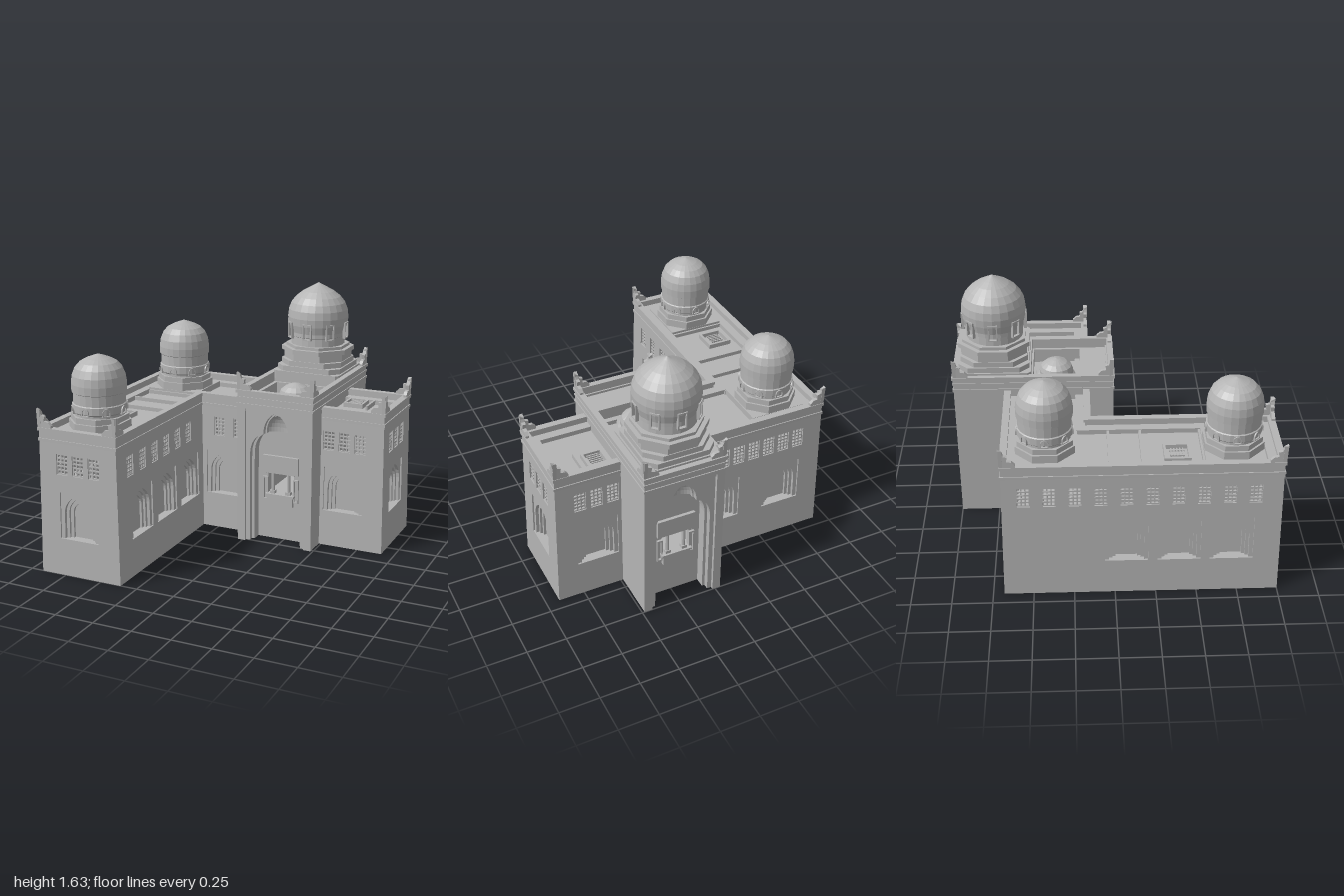
import * as THREE from 'three';
import { mergeGeometries } from 'three/addons/utils/BufferGeometryUtils.js';

const stone = new THREE.MeshStandardMaterial({ color: 0xb4b4b4, side: THREE.DoubleSide, flatShading: true });
stone.name = 'grey stone';

const V = (x, y) => new THREE.Vector2(x, y);
const rect = (x0, x1, y0, y1) => [V(x0, y0), V(x1, y0), V(x1, y1), V(x0, y1)];

function mesh(name, geo, parent) {
  const m = new THREE.Mesh(geo, stone);
  m.name = name;
  parent.add(m);
  return m;
}
function merged(name, geos, parent) {
  return mesh(name, mergeGeometries(geos.map(g => (g.index ? g.toNonIndexed() : g))), parent);
}
function box(x0, x1, y0, y1, z0, z1) {
  return new THREE.BoxGeometry(x1 - x0, y1 - y0, z1 - z0)
    .translate((x0 + x1) / 2, (y0 + y1) / 2, (z0 + z1) / 2);
}
// upright plate with holes, spanning z0..z1
function plate(outline, holes, z0, z1) {
  const s = new THREE.Shape(outline);
  s.holes = holes.map(h => new THREE.Path(h));
  return new THREE.ExtrudeGeometry(s, { depth: z1 - z0, bevelEnabled: false }).translate(0, 0, z0);
}
// horizontal plate; outlines are given as (x, -z)
const slab = (outline, holes, y0, y1) => plate(outline, holes, y0, y1).rotateX(-Math.PI / 2);

// slightly pointed arch opening
function arch(cx, r, y0, top) {
  const pts = [V(cx - r, y0), V(cx + r, y0)], spring = top - r * 1.15;
  for (let i = 0; i <= 12; i++) {
    const a = Math.PI * i / 12;
    pts.push(V(cx + r * Math.cos(a), spring + r * 1.05 * Math.sin(a) + r * 0.1 * Math.sin(a) ** 6));
  }
  return pts;
}

// wall with stepped blind arches and lattice windows, leaning out towards its base
const H = 0.86;
function wall(name, face, at, from, to, arches, lattices, parent) {
  const L = to - from, mid = (from + to) / 2;
  const sign = face === 'front' || face === 'west' ? 1 : -1;
  const us = arches.map(c => sign * (c - mid)), ls = lattices.map(c => sign * (c - mid));
  const holes = [...us.map(u => rect(u - 0.13, u + 0.13, 0.24, 0.54)),
    ...ls.map(u => rect(u - 0.038, u + 0.038, 0.65, 0.78))];
  const parts = [plate(rect(-L / 2, L / 2, 0, H), holes, -0.03, 0)];
  for (const u of us) {
    const frame = rect(u - 0.135, u + 0.135, 0.235, 0.545);
    parts.push(plate(frame, [arch(u, 0.105, 0.24, 0.525)], -0.03, -0.01));
    parts.push(plate(frame, [arch(u, 0.085, 0.24, 0.505)], -0.045, -0.03));
    parts.push(plate(frame, [arch(u, 0.065, 0.24, 0.475)], -0.06, -0.045));
    parts.push(box(u - 0.135, u + 0.135, 0.235, 0.545, -0.07, -0.06));
  }
  for (const u of ls) {
    for (let i = 0; i < 4; i++) {
      const x = u - 0.036 + i * 0.024;
      parts.push(box(x - 0.004, x + 0.004, 0.65, 0.78, -0.022, -0.01));
    }
    for (let i = 0; i < 6; i++) {
      const y = 0.653 + i * 0.0248;
      parts.push(box(u - 0.038, u + 0.038, y - 0.004, y + 0.004, -0.02, -0.008));
    }
  }
  const m = merged(name, parts, parent), p = m.geometry.attributes.position;
  for (let i = 0; i < p.count; i++) {
    const out = 0.012 * (1 - p.getY(i) / H);
    p.setXYZ(i, p.getX(i) * (1 + 2 * out / L), p.getY(i), p.getZ(i) + out);
  }
  m.geometry.computeVertexNormals();
  const side = face === 'east' || face === 'west';
  m.position.set(side ? at : mid, 0, side ? mid : at);
  m.rotation.y = { front: 0, east: Math.PI / 2, back: Math.PI, west: -Math.PI / 2 }[face];
}

// outline of the L-shaped wings, inset by d
const wings = d => [V(-0.905 + d, 0.67 - d), V(-0.905 + d, -0.99 + d), V(-0.372 - d, -0.99 + d),
  V(-0.372 - d, 0.14 + d), V(0.905 - d, 0.14 + d), V(0.905 - d, 0.67 - d)];

// curled corner ornament, two leaves meeting at the corner
function ornament(x, y, z, sx, sz, parent) {
  const s = [V(0, 0), V(-0.005, 0.115), V(0.02, 0.1), V(0.028, 0.075), V(0.05, 0.07), V(0.046, 0.04),
    V(0.075, 0.035), V(0.095, 0.015), V(0.095, 0)];
  const g = merged('cornerOrnament', [plate(s, [], 0, 0.022), plate(s, [], -0.022, 0).rotateY(-Math.PI / 2)], parent);
  g.position.set(x, y, z);
  g.scale.set(sx, 1, sz);
}

function dome(name, profile, sides, x, z, parent) {
  const d = mesh(name, new THREE.LatheGeometry(profile.map(p => V(p[0], p[1])), sides), parent);
  d.position.set(x, 0, z);
}
// window frames standing around a drum
function drumWindows(x, z, r, w, y0, y1, count, arched, parent) {
  for (let i = 0; i < count; i++) {
    const hole = arched ? arch(0, w / 2 - 0.006, y0 + 0.005, y1 - 0.006) : rect(-w / 2 + 0.008, w / 2 - 0.008, y0 + 0.008, y1 - 0.008);
    const f = mesh('drumWindow', plate(arched ? arch(0, w / 2, y0, y1) : rect(-w / 2, w / 2, y0, y1), [hole], r - 0.02, r), parent);
    f.position.set(x, 0, z);
    f.rotation.y = i * 2 * Math.PI / count;
  }
}
const octagon = (h, c) => [V(-h + c, -h), V(h - c, -h), V(h, -h + c), V(h, h - c), V(h - c, h), V(-h + c, h), V(-h, h - c), V(-h, -h + c)];

function skylight(x, z, w, parent) {
  const h = w / 2, parts = [slab(rect(x - h, x + h, -z - h, -z + h), [rect(x - h + 0.015, x + h - 0.015, -z - h + 0.015, -z + h - 0.015)], 0.86, 0.89)];
  for (let i = -2; i <= 2; i++) {
    parts.push(box(x - 0.04, x + 0.04, 0.875, 0.885, z + i * 0.018 - 0.004, z + i * 0.018 + 0.004));
    if (i % 2) parts.push(box(x + i * 0.025 - 0.004, x + i * 0.025 + 0.004, 0.87, 0.88, z - 0.045, z + 0.045));
  }
  merged('skylight', parts, parent);
}

// half of the three-lobed portal opening, from the floor to the tip
function lobes(k, tip) {
  const c = new THREE.CurvePath();
  const p = (x, y) => V(x * k, y);
  c.add(new THREE.LineCurve(p(-0.18, 0), p(-0.18, 0.6)));
  c.add(new THREE.QuadraticBezierCurve(p(-0.18, 0.6), p(-0.175, 0.72), p(-0.085, 0.745)));
  c.add(new THREE.QuadraticBezierCurve(p(-0.085, 0.745), p(-0.09, 0.84), p(0, tip)));
  const half = c.getPoints(8);
  return [...half, ...half.slice(0, -1).reverse().map(q => V(-q.x, q.y))];
}
function portal(parent, rot) {
  const g = new THREE.Group();
  g.name = 'portal';
  g.position.set(0.225, 0, -0.49);
  g.rotation.y = rot;
  parent.add(g);
  const around = (w, opening, top) => [V(-w, 0), ...opening, V(w, 0), V(w, top), V(-w, top)];
  const door = [V(-0.208, 0), V(-0.208, 0.91), V(0.208, 0.91), V(0.208, 0)];
  merged('portalFrame', [plate(around(0.26, door, 0.98), [], 0.47, 0.51),
    plate(around(0.255, lobes(1, 0.9), 0.96), [], 0.455, 0.49),
    plate(around(0.255, lobes(0.9, 0.88), 0.96), [], 0.39, 0.455)], g);
  mesh('nicheWall', plate(rect(-0.255, 0.255, 0, 0.96), [rect(-0.09, 0.09, 0.3, 0.46)], 0.37, 0.39), g);
  // fluted half dome in the niche head
  const hood = mesh('nicheHood', new THREE.SphereGeometry(0.085, 12, 6, 0, Math.PI, 0, Math.PI / 2), g);
  hood.scale.set(1, 1.4, -0.6);
  hood.position.set(0, 0.75, 0.455);
  // balcony window
  const parts = [plate(rect(-0.125, 0.125, 0.46, 0.58), [arch(0, 0.1, 0.468, 0.57)], 0.39, 0.41),
    plate(arch(0, 0.085, 0.47, 0.555), [arch(0, 0.07, 0.476, 0.542)], 0.39, 0.4),
    box(-0.09, 0.09, 0.24, 0.31, 0.37, 0.42), box(-0.1, 0.1, 0.305, 0.32, 0.36, 0.425)];
  for (const s of [-1, 1]) {
    parts.push(plate(rect(s * 0.107 - 0.018, s * 0.107 + 0.018, 0.27, 0.43), [rect(s * 0.107 - 0.01, s * 0.107 + 0.01, 0.28, 0.42)], 0.39, 0.405));
    parts.push(new THREE.CylinderGeometry(0.011, 0.013, 0.14, 8).translate(s * 0.055, 0.39, 0.395));
    parts.push(box(s * 0.055 - 0.017, s * 0.055 + 0.017, 0.32, 0.34, 0.38, 0.412));
  }
  merged('balconyWindow', parts, g);
}

export function createModel() {
  const model = new THREE.Group();
  model.name = 'domedBuilding';

  // wing walls
  const run = (a, b, n) => Array.from({ length: n }, (_, i) => a + (b - a) * i / (n - 1));
  wall('wingFrontWall', 'front', 0.99, -0.905, -0.372, [-0.64], run(-0.75, -0.53, 3), model);
  wall('wingEastWall', 'east', -0.372, -0.14, 0.99, [0.7, 0.385, 0.07], run(0.83, 0.07, 6), model);
  wall('wingWestWall', 'west', -0.905, -0.67, 0.99, [0.7, 0.385, 0.07], run(0.83, -0.54, 10), model);
  wall('innerFrontWall', 'front', -0.14, -0.372, -0.03, [-0.2], [-0.24, -0.1], model);
  wall('eastFrontWall', 'front', -0.14, 0.48, 0.905, [0.645], run(0.54, 0.75, 3), model);
  wall('eastEndWall', 'east', 0.905, -0.67, -0.14, [-0.4], run(-0.51, -0.29, 3), model);
  wall('longBackWall', 'back', -0.67, -0.905, -0.03, [-0.2, -0.63], run(-0.74, -0.11, 7), model);
  wall('eastBackWall', 'back', -0.67, 0.48, 0.905, [0.645], run(0.54, 0.75, 3), model);

  // floor, roof and parapet of the wings
  mesh('floor', slab(wings(0.02), [], 0.18, 0.2), model);
  mesh('roof', slab(wings(0.02), [], 0.835, 0.86), model);
  merged('parapet', [[0, 0.085, 0.85, 0.89], [-0.006, 0.03, 0.85, 0.868], [0, 0.028, 0.868, 0.92], [-0.008, 0.036, 0.915, 0.935]]
    .map(([a, b, y0, y1]) => slab(wings(a), [wings(b)], y0, y1)), model);
  merged('roofBeams', [-0.225, -0.03, 0.165, 0.53].map(z => box(-0.825, -0.45, 0.86, 0.885, z - 0.008, z + 0.008)), model);
  mesh('roofDivider', box(0.68, 0.695, 0.86, 0.89, -0.64, -0.43), model);
  skylight(-0.7, 0.375, 0.16, model);
  skylight(0.585, -0.52, 0.135, model);
  for (const [x, z, sx, sz] of [[-0.91, 0.995, 1, -1], [-0.367, 0.995, -1, -1], [-0.91, -0.675, 1, 1], [0.91, -0.675, -1, 1], [0.91, -0.135, -1, -1]])
    ornament(x, 0.935, z, sx, sz, model);

  // wing domes on octagonal bases
  for (const z of [-0.41, 0.715]) {
    merged('domeBase', [box(-0.825, -0.455, 0.86, 0.9, z - 0.18, z + 0.18),
      slab(octagon(0.178, 0.104), [], 0.9, 0.95).translate(-0.64, 0, z),
      slab(octagon(0.166, 0.097), [], 0.95, 0.985).translate(-0.64, 0, z)], model);
    dome('wingDome', [[0.157, 0.985], [0.157, 1.0], [0.168, 1.01], [0.168, 1.055], [0.161, 1.06], [0.161, 1.125], [0.169, 1.13],
      [0.17, 1.18], [0.163, 1.23], [0.145, 1.275], [0.115, 1.308], [0.075, 1.33], [0.03, 1.347], [0, 1.357]], 24, -0.64, z, model);
    drumWindows(-0.64, z, 0.174, 0.05, 1.0, 1.052, 8, true, model);
  }

  // gate tower
  portal(model, 0);
  portal(model, Math.PI);
  merged('gateSides', [-0.035, 0.455].map(x => box(x, x + 0.03, 0, 0.98, -1, 0.02)), model);
  mesh('gateFloor', box(-0.03, 0.48, 0.18, 0.2, -0.86, -0.12), model);
  const gate = d => rect(-0.035 + d, 0.485 - d, -0.02 + d, 1 - d);
  merged('gateRoof', [slab(gate(0.01), [rect(0.02, 0.435, 0.19, 0.495)], 0.89, 0.965),
    box(0.01, 0.445, 0.84, 0.862, -0.5, -0.18), box(-0.02, 0.47, 0.96, 1.0, -0.99, -0.515)], model);
  merged('gateCornice', [[-0.006, 0.93, 0.945], [0, 0.945, 1.015], [-0.005, 0.975, 0.988], [-0.009, 1.012, 1.032]]
    .map(([d, y0, y1]) => slab(gate(d), [gate(0.03)], y0, y1)), model);
  for (const sx of [-1, 1]) for (const z of [0.02, -1])
    ornament(0.225 - sx * 0.263, 1.03, z, sx, z > 0 ? -1 : 1, model);

  // low dome sunk in the gate roof
  const hex = mesh('hexagonBase', new THREE.CylinderGeometry(0.155, 0.16, 0.04, 6), model);
  hex.position.set(0.22, 0.88, -0.345);
  hex.rotation.y = Math.PI / 6 * 3;
  dome('sunkenDome', [[0.125, 0.9], [0.11, 0.915], [0.11, 0.94], [0.1, 0.97], [0.07, 0.995], [0.03, 1.012], [0, 1.02]], 16, 0.22, -0.345, model);

  // main dome on its stepped pedestal
  merged('domePedestal', [[0.235, 0.02, 0.99, 1.045], [0.225, 0.06, 1.045, 1.08], [0.215, 0.09, 1.08, 1.115],
    [0.21, 0.115, 1.115, 1.165], [0.228, 0.134, 1.165, 1.195], [0.2, 0.117, 1.195, 1.215]]
    .map(([h, c, y0, y1]) => slab(octagon(h, c), [], y0, y1).translate(0.22, 0, -0.74)), model);
  dome('mainDome', [[0.182, 1.21], [0.18, 1.27], [0.19, 1.275], [0.19, 1.3], [0.202, 1.35], [0.206, 1.4], [0.2, 1.45], [0.182, 1.495],
    [0.15, 1.535], [0.105, 1.57], [0.06, 1.595], [0.025, 1.613], [0, 1.628]], 24, 0.22, -0.735, model);
  drumWindows(0.22, -0.735, 0.209, 0.06, 1.26, 1.37, 8, false, model);

  return model;
}
